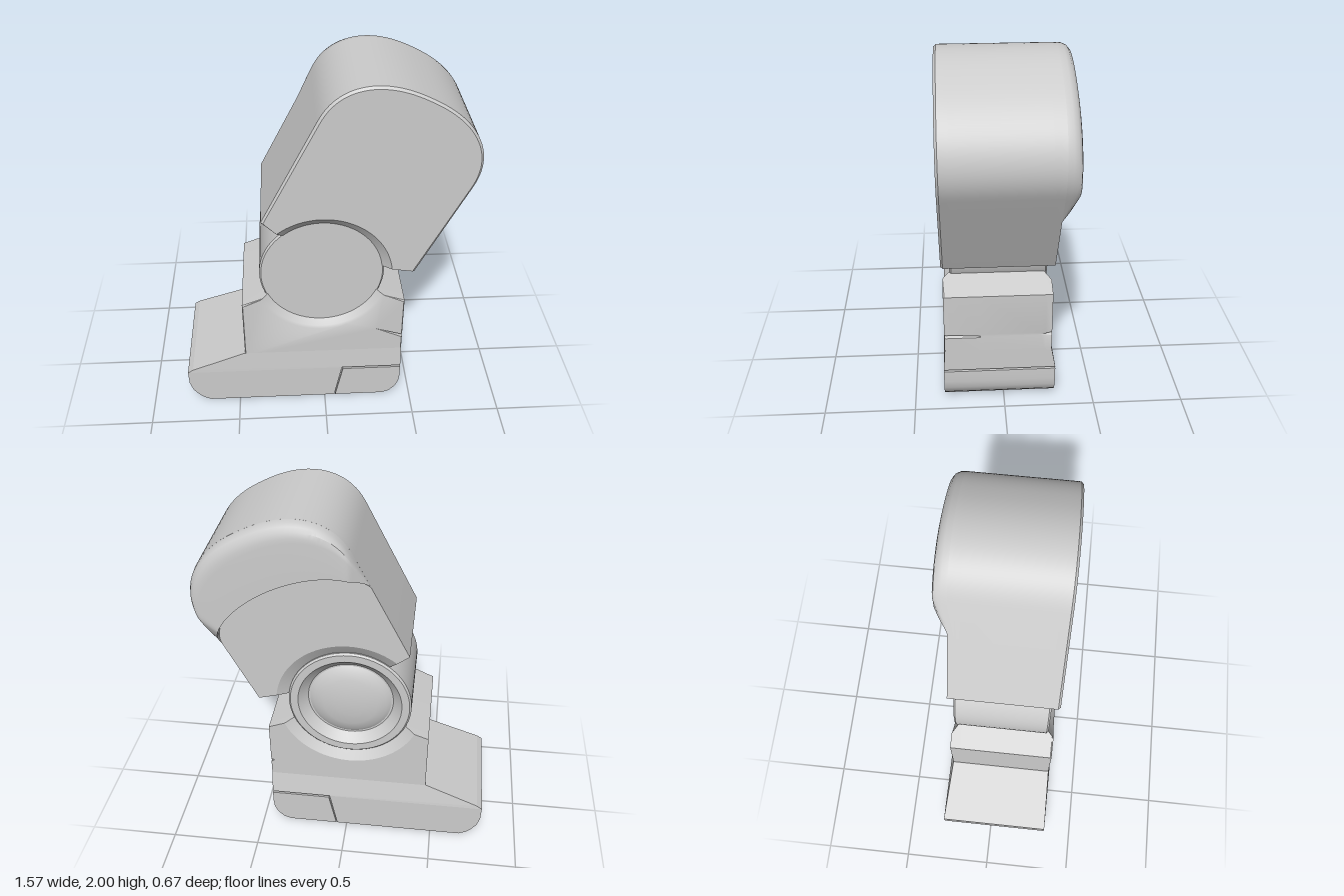
import * as THREE from 'three';
import { toCreasedNormals } from 'three/addons/utils/BufferGeometryUtils.js';
import { ConvexGeometry } from 'three/addons/geometries/ConvexGeometry.js';

const material = new THREE.MeshStandardMaterial({ color: 0xcccccc });
const CX = -0.015, CY = 0.89; // joint centre

function build(positions, index) {
  const g = new THREE.BufferGeometry();
  g.setAttribute('position', new THREE.Float32BufferAttribute(positions, 3));
  g.setIndex(index);
  return toCreasedNormals(g, 0.5);
}

// Joins outlines (counter-clockwise from +z) listed from front to back, with caps
function loft(rings) {
  const n = rings[0].pts.length, pos = [], idx = [];
  rings.forEach(r => r.pts.forEach(p => pos.push(p[0], p[1], r.z)));
  for (let r = 0; r < rings.length - 1; r++)
    for (let j = 0; j < n; j++) {
      const k = (j + 1) % n, a = r * n + j, b = r * n + k, c = a + n, d = b + n;
      idx.push(a, c, b, b, c, d);
    }
  const cap = ring => THREE.ShapeUtils.triangulateShape(ring.pts.map(p => new THREE.Vector2(...p)), []);
  const last = (rings.length - 1) * n;
  cap(rings[0]).forEach(t => idx.push(t[0], t[1], t[2]));
  cap(rings[rings.length - 1]).forEach(t => idx.push(last + t[2], last + t[1], last + t[0]));
  return build(pos, idx);
}

// Arc around the joint centre, in degrees
function jointArc(radius, from, to, steps = 40) {
  return Array.from({ length: steps + 1 }, (_, i) => {
    const a = THREE.MathUtils.degToRad(from + (to - from) * i / steps);
    return [CX + radius * Math.cos(a), CY + radius * Math.sin(a)];
  });
}

// Tilted frame of the upper limb: s across, t along
const limb = (s, t) => [0.075 + 0.891 * s + 0.454 * t, 1.08 - 0.454 * s + 0.891 * t];

// Rounded end of the limb, from its +s side to its -s side
function dome(inset = 0, steps = 48) {
  return Array.from({ length: steps + 1 }, (_, i) => {
    const a = Math.PI * i / steps, c = Math.cos(a), e = 2 / 2.3;
    return [Math.sign(c) * Math.abs(c) ** e * (0.437 - inset),
      0.6 + Math.max(0, Math.sin(a)) ** e * (0.345 - inset)];
  });
}

function upperOutline(cut, inset = 0) {
  return [
    [0.48 - inset, 0.905 + inset / 2],
    ...dome(inset).map(p => limb(...p)),
    [-0.33 + inset, 1.25],
    ...jointArc(cut, 129, 6),
  ];
}

function lowerOutline(cut, notch, inset = 0) {
  return [
    [-0.455 + inset, 0.33], [0.44 - inset, 0.33], [0.44 - inset, 0.435],
    [0.44 - notch, 0.443 + notch * 0.4], [0.44 - inset, 0.455],
    [0.44 - inset, 0.7 - inset],
    ...jointArc(cut, 337, 204),
    [-0.455 + inset, 0.7 - inset],
  ];
}

// Raised hood on the back of the limb, tapering to nothing at both ends
function hood() {
  const low = 0.41, sideSteps = 10;
  const outer = [];
  for (let i = 0; i < sideSteps; i++) outer.push([0.437, low + 0.19 * i / sideSteps]);
  outer.push(...dome());
  for (let i = 1; i <= sideSteps; i++) outer.push([-0.437, 0.6 - 0.19 * i / sideSteps]);
  const section = [[0, 0], [0.01, 0.4], [0.05, 0.7], [0.12, 0.9], [0.22, 0.98], [0.3, 1], [1, 1], [1, 0]];
  const pos = [], idx = [], m = section.length;
  outer.forEach(([s, t], i) => {
    const a = Math.PI * i / (outer.length - 1);
    const is = 0.437 * Math.cos(a), it = low + 0.22 * Math.sin(a);
    const h = 0.077 * THREE.MathUtils.smoothstep(t, low - 0.02, 0.68);
    section.forEach(([f, d]) => {
      const p = limb(s + (is - s) * f, t + (it - t) * f);
      pos.push(p[0], p[1], -0.258 - h * d);
    });
  });
  for (let i = 0; i < outer.length - 1; i++)
    for (let k = 0; k < m - 1; k++) {
      const a = i * m + k, b = a + m;
      idx.push(a, a + 1, b, b, a + 1, b + 1);
    }
  return build(pos, idx);
}

export function createModel() {
  const model = new THREE.Group();
  const add = (name, geometry) => {
    const mesh = new THREE.Mesh(geometry, material);
    mesh.name = name;
    model.add(mesh);
  };

  // Upper limb with a chamfered seat for the joint
  add('upperLimb', loft([
    { z: 0.332, pts: upperOutline(0.375, 0.012) },
    { z: 0.32, pts: upperOutline(0.36) },
    { z: 0.27, pts: upperOutline(0.302) },
    { z: -0.2, pts: upperOutline(0.302) },
    { z: -0.225, pts: upperOutline(0.34) },
    { z: -0.26, pts: upperOutline(0.4) },
  ]));
  add('upperLimbHood', hood());

  // Joint drum: flat front, dished back with a shallow dome
  const profile = [[0, -0.235], [0.08, -0.232], [0.15, -0.222], [0.2, -0.207], [0.225, -0.19],
    [0.235, -0.19], [0.285, -0.24], [0.327, -0.24], [0.337, -0.23], [0.337, 0.28], [0.328, 0.29], [0, 0.29]];
  const drum = new THREE.LatheGeometry(profile.map(p => new THREE.Vector2(...p)), 64);
  drum.rotateX(Math.PI / 2).translate(CX, CY, 0);
  add('jointDrum', toCreasedNormals(drum, 0.5));

  // Ankle block, with a wedge-shaped nick on the heel side
  add('ankleBlock', loft([
    { z: 0.326, pts: lowerOutline(0.37, 0.15, 0.005) },
    { z: 0.318, pts: lowerOutline(0.355, 0.15) },
    { z: 0.27, pts: lowerOutline(0.302, 0.11) },
    { z: 0.13, pts: lowerOutline(0.302, 0.001) },
    { z: -0.2, pts: lowerOutline(0.302, 0.001) },
    { z: -0.225, pts: lowerOutline(0.34, 0.005) },
    { z: -0.26, pts: lowerOutline(0.395, 0.02) },
  ]));

  // Sloping top of the foot
  const instep = [];
  for (const [x, y, front, back] of [
    [-0.79, 0.22, 0.335, -0.285], [0.44, 0.22, 0.335, -0.285], [-0.76, 0.24, 0.334, -0.282],
    [-0.46, 0.35, 0.326, -0.26], [0.44, 0.35, 0.326, -0.26],
  ]) instep.push(new THREE.Vector3(x, y, front), new THREE.Vector3(x, y, back));
  add('instep', new ConvexGeometry(instep));

  // Sole and separate heel plate, with a core behind the seam
  const slab = (pts, front = 0.335, back = -0.285) => loft([{ z: front, pts }, { z: back, pts }]);
  add('sole', slab([[-0.67, 0], [0.057, 0], [0.1, 0.22], [-0.79, 0.22], [-0.787, 0.14],
    [-0.77, 0.085], [-0.74, 0.045], [-0.71, 0.018]]));
  add('heelPlate', slab([[0.063, 0], [0.34, 0], [0.38, 0.015], [0.415, 0.05], [0.435, 0.095],
    [0.44, 0.14], [0.44, 0.208], [0.106, 0.208]]));
  add('heelCore', slab([[0, 0.01], [0.34, 0.01], [0.39, 0.04], [0.425, 0.13], [0.425, 0.24], [0, 0.24]],
    0.322, -0.272));

  return model;
}
